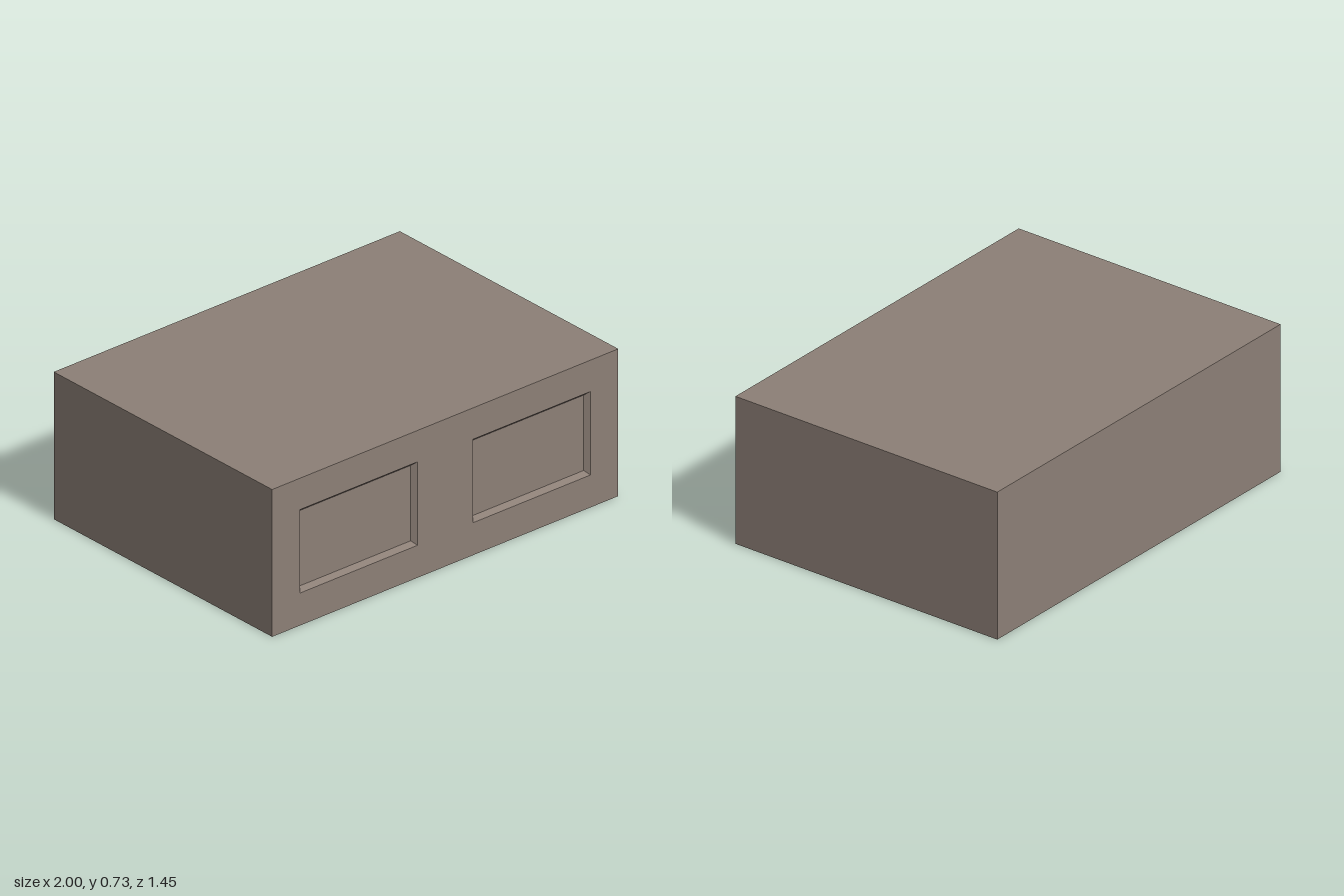
import * as THREE from 'three';

const W = 2, H = 0.727, D = 1.453;
const BEVEL = 0.02, DEPTH = 0.023;
const PANEL = { w: 0.68, h: 0.412, x: 0.5, y: 0.366 };

// Corners of a rectangle, counter-clockwise seen from the front
const corners = (w, h) => [[-w / 2, -h / 2], [w / 2, -h / 2], [w / 2, h / 2], [-w / 2, h / 2]];

// Four sloping strips running from the front face down to the sunk panel
function bevelGeometry() {
  const outer = corners(PANEL.w, PANEL.h);
  const inner = corners(PANEL.w - 2 * BEVEL, PANEL.h - 2 * BEVEL);
  const pos = [];
  for (let i = 0; i < 4; i++) {
    const j = (i + 1) % 4;
    const a = [...outer[i], 0], b = [...outer[j], 0];
    const c = [...inner[j], -DEPTH], d = [...inner[i], -DEPTH];
    pos.push(...a, ...b, ...c, ...a, ...c, ...d);
  }
  const g = new THREE.BufferGeometry();
  g.setAttribute('position', new THREE.Float32BufferAttribute(pos, 3));
  g.computeVertexNormals();
  return g;
}

export function createModel() {
  const group = new THREE.Group();
  group.name = 'panelledBlock';
  const material = new THREE.MeshStandardMaterial({ color: 0x8c7f76 });
  const add = (name, geometry, x, y, z) => {
    const mesh = new THREE.Mesh(geometry, material);
    mesh.name = name;
    mesh.position.set(x, y, z);
    group.add(mesh);
  };

  // Body: a box without its front face (the fifth of six)
  const box = new THREE.BoxGeometry(W, H, D);
  box.setIndex(Array.from(box.index.array).filter((_, i) => i < 24 || i >= 30));
  box.clearGroups();
  add('body', box, 0, H / 2, 0);

  // Front face with two rectangular openings
  const face = new THREE.Shape(corners(W, H).map(([x, y]) => new THREE.Vector2(x, y + H / 2)));
  for (const side of [-1, 1]) {
    face.holes.push(new THREE.Path(corners(PANEL.w, PANEL.h)
      .map(([x, y]) => new THREE.Vector2(x + side * PANEL.x, y + PANEL.y)).reverse()));
  }
  add('frontFace', new THREE.ShapeGeometry(face), 0, 0, D / 2);

  // Sunk panels with bevelled surrounds
  const bevel = bevelGeometry();
  const panel = new THREE.PlaneGeometry(PANEL.w - 2 * BEVEL, PANEL.h - 2 * BEVEL);
  for (const [name, side] of [['right', -1], ['left', 1]]) {
    add(name + 'PanelBevel', bevel, side * PANEL.x, PANEL.y, D / 2);
    add(name + 'Panel', panel, side * PANEL.x, PANEL.y, D / 2 - DEPTH);
  }
  return group;
}
